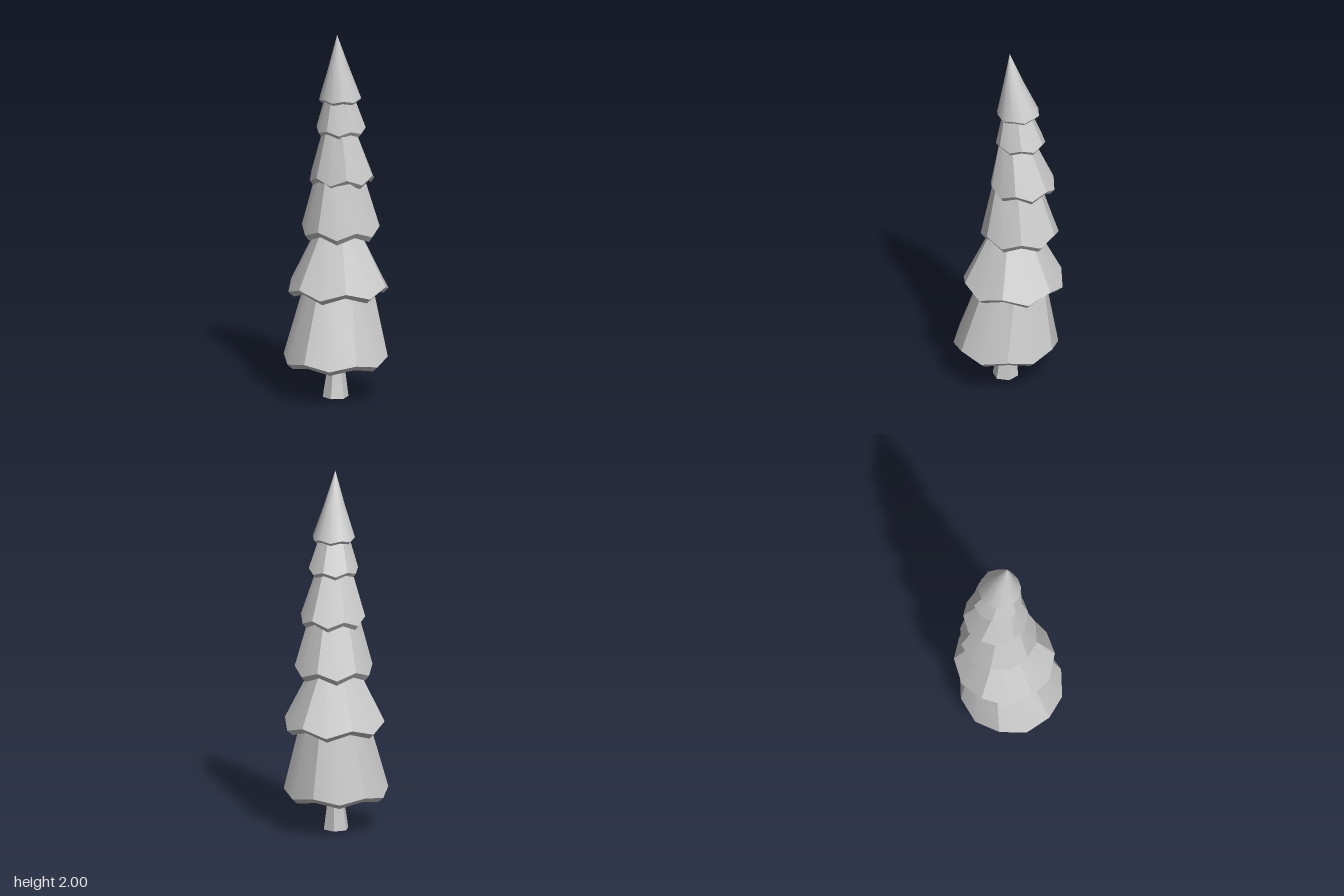
import * as THREE from 'three';
import { mergeGeometries, toCreasedNormals } from 'three/addons/utils/BufferGeometryUtils.js';

const material = new THREE.MeshStandardMaterial({ color: 0xcccccc, side: THREE.DoubleSide });
const rad = THREE.MathUtils.degToRad;
const lerp = THREE.MathUtils.lerp;

// Skin rows of points (listed bottom to top, columns counterclockwise from above)
function skin(rows) {
  const n = rows[0].length;
  const index = [];
  for (let r = 0; r < rows.length - 1; r++) {
    for (let c = 0; c < n - 1; c++) {
      const a = r * n + c, d = a + n;
      index.push(a, a + 1, d, a + 1, d + 1, d);
    }
  }
  const geo = new THREE.BufferGeometry().setFromPoints(rows.flat());
  geo.setIndex(index);
  geo.computeVertexNormals();
  return geo.toNonIndexed();
}

const polar = (angle, radius, y, cz) =>
  new THREE.Vector3(Math.sin(rad(angle)) * radius, y, cz + Math.cos(rad(angle)) * radius);

// One hollow skirt of branches: six panels, each with a pointed lower edge
function tier(t) {
  const angles = Array.from({ length: 13 }, (_, i) => t.turn - 30 + i * 30);
  const crease = (i) => i % 2 === 0;
  const edgeY = (i) => (crease(i) ? t.high : t.low);
  const outer = angles.map((a, i) => polar(a, t.r, edgeY(i), t.z));
  const lip = angles.map((a, i) => polar(a, t.r * 0.89, edgeY(i) - t.lip, t.z));
  const k = t.tip ? 1 : 1.25; // carry the skirt up inside the next one
  const topY = lerp(t.high, t.topY, k);
  const topZ = lerp(t.z, t.topZ, k);
  const topR = lerp(t.r, t.topR, k);
  const top = angles.map((a, i) =>
    polar(a, topR * (crease(i) ? 1 : 0.9), topY, topZ));
  const parts = [];

  if (t.tip) {
    // slightly concave smooth cone
    const mid = angles.map((a) =>
      polar(a, t.r * 0.47, lerp(t.high, topY, 0.5), lerp(t.z, topZ, 0.52)));
    parts.push(toCreasedNormals(skin([outer, mid, top]), 1));
  } else {
    // each panel is smooth inside and sharp against its neighbours
    for (let i = 0; i < 12; i += 2) {
      parts.push(skin([outer.slice(i, i + 3), top.slice(i, i + 3)]));
    }
    parts.push(skin([top, top.map(() => new THREE.Vector3(0, topY, topZ))]));
  }
  // bevelled lip and inner wall, flat faced
  for (let i = 0; i < 12; i++) {
    const cut = (row) => row.slice(i, i + 2);
    parts.push(skin([cut(lip), cut(outer)]));
    parts.push(skin([cut(top), cut(lip)]));
  }
  return mergeGeometries(parts);
}

// Flared six-sided trunk, leaning slightly backwards
function trunk() {
  const ring = (r, y, z) => Array.from({ length: 7 }, (_, i) => polar(i * 60, r, y, z));
  const base = ring(0.07, 0, 0.02);
  const rows = [base, ring(0.042, 0.2, 0.01), ring(0.025, 0.64, -0.02)];
  const parts = [skin([base.map(() => new THREE.Vector3(0, 0, 0.02)), base])];
  for (let i = 0; i < 6; i++) parts.push(skin(rows.map((row) => row.slice(i, i + 2))));
  return mergeGeometries(parts);
}

export function createModel() {
  const group = new THREE.Group();
  group.name = 'tree';
  const add = (name, geo) => {
    const mesh = new THREE.Mesh(geo, material);
    mesh.name = name;
    group.add(mesh);
  };

  add('trunk', trunk());

  // high and low: outer edge at the creases and at the points between them
  const tiers = [
    { turn: 14, high: 0.23, low: 0.203, lip: 0.027, r: 0.282, z: 0.018, topY: 0.57, topR: 0.195, topZ: -0.02 },
    { turn: 0, high: 0.62, low: 0.58, lip: 0.027, r: 0.272, z: -0.022, topY: 0.88, topR: 0.14, topZ: -0.02 },
    { turn: 15, high: 0.932, low: 0.895, lip: 0.03, r: 0.21, z: -0.058, topY: 1.18, topR: 0.14, topZ: -0.042 },
    { turn: 0, high: 1.215, low: 1.182, lip: 0.025, r: 0.175, z: -0.074, topY: 1.43, topR: 0.105, topZ: -0.042 },
    { turn: 15, high: 1.475, low: 1.455, lip: 0.02, r: 0.133, z: -0.063, topY: 1.61, topR: 0.09, topZ: -0.046 },
    { turn: 0, high: 1.645, low: 1.633, lip: 0.015, r: 0.115, z: -0.049, topY: 2, topR: 0, topZ: -0.003, tip: true },
  ];
  tiers.forEach((t, i) => add(t.tip ? 'treetop' : `branchTier${i + 1}`, tier(t)));
  return group;
}
